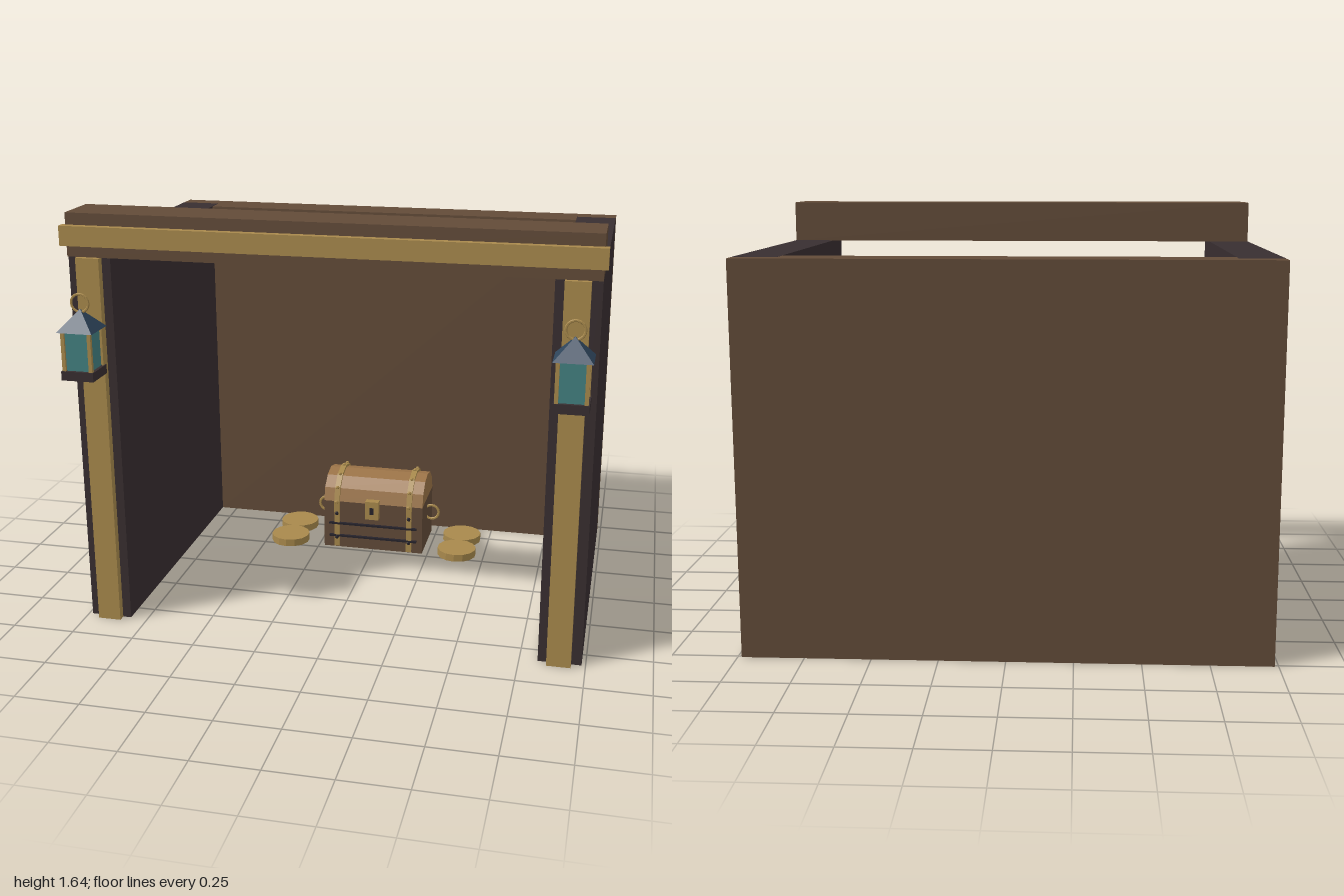
import * as THREE from 'three';

const mat = (name, color) => {
  const m = new THREE.MeshStandardMaterial({ color });
  m.name = name;
  m.flatShading = true;
  return m;
};

export function createModel() {
  const wood = mat('brown wood', 0x624b38);
  const dark = mat('dark timber', 0x382e30);
  const gold = mat('aged gold', 0xa8894c);
  const lidWood = mat('light chest wood', 0x9b7347);
  const roofBlue = mat('slate blue', 0x2e455c);
  const glass = mat('teal glass', 0x438081);
  const iron = mat('black iron', 0x25222a);

  const model = new THREE.Group();
  model.name = 'treasureStall';

  const add = (parent, name, geo, material, x = 0, y = 0, z = 0) => {
    const mesh = new THREE.Mesh(geo, material);
    mesh.name = name;
    mesh.position.set(x, y, z);
    parent.add(mesh);
    return mesh;
  };
  // Box given by its minimum and maximum on each axis
  const box = (parent, name, material, x0, x1, y0, y1, z0, z1) =>
    add(parent, name, new THREE.BoxGeometry(x1 - x0, y1 - y0, z1 - z0), material,
      (x0 + x1) / 2, (y0 + y1) / 2, (z0 + z1) / 2);

  // Shelter: back wall with a narrower inner layer between the side walls
  box(model, 'backWall', wood, -0.985, 0.985, 0, 1.48, -0.76, -0.68);
  box(model, 'backWallInner', wood, -0.82, 0.82, 0, 1.48, -0.68, -0.6);
  box(model, 'lintel', wood, -0.985, 0.985, 1.48, 1.645, 0.4, 0.595);
  box(model, 'lintelTrim', gold, -1, 1, 1.525, 1.6, 0.588, 0.625);

  // Lantern with a pyramid roof, corner posts and hanging ring
  const makeLantern = () => {
    const g = new THREE.Group();
    g.name = 'lantern';
    box(g, 'lanternBase', dark, -0.063, 0.063, 1.045, 1.08, -0.063, 0.063);
    box(g, 'lanternGlass', glass, -0.05, 0.05, 1.08, 1.23, -0.05, 0.05);
    for (const x of [-0.052, 0.052]) for (const z of [-0.052, 0.052]) {
      box(g, 'lanternPost', gold, x - 0.007, x + 0.007, 1.08, 1.23, z - 0.007, z + 0.007);
    }
    const roof = new THREE.ConeGeometry(0.07 * Math.SQRT2, 0.078, 4).rotateY(Math.PI / 4);
    add(g, 'lanternRoof', roof, roofBlue, 0, 1.267, 0);
    add(g, 'lanternRing', new THREE.TorusGeometry(0.034, 0.005, 6, 18), gold, 0, 1.328, 0);
    return g;
  };

  for (const s of [-1, 1]) {
    const c = s * 0.9025;
    box(model, 'sideWall', dark, c - 0.0825, c + 0.0825, 0, 1.4805, -0.68, 0.585);
    box(model, 'frontPost', gold, s * 0.9 - 0.046, s * 0.9 + 0.046, 0, 1.48, 0.584, 0.615);
    const lantern = makeLantern();
    lantern.position.set(s * 0.904, 0, 0.69);
    model.add(lantern);
  }

  // Chest, centred on its own origin
  const chest = new THREE.Group();
  chest.name = 'chest';
  chest.position.z = -0.41;
  model.add(chest);
  const steps = 6, seam = 0.22;
  const arch = (rz, ry) => Array.from({ length: steps + 1 }, (_, i) => {
    const a = (i / steps) * Math.PI;
    return new THREE.Vector2(Math.cos(a) * rz, seam + Math.sin(a) * ry);
  });
  // Extrude a (z, y) profile along x, centred on the given x
  const extrudeX = (shape, width, x) =>
    new THREE.ExtrudeGeometry(shape, { depth: width, bevelEnabled: false })
      .translate(0, 0, -width / 2).rotateY(-Math.PI / 2).translate(x, 0, 0);

  box(chest, 'chestBody', wood, -0.225, 0.225, 0, seam, -0.135, 0.135);
  add(chest, 'chestLid', extrudeX(new THREE.Shape(arch(0.135, 0.115)), 0.45, 0), lidWood);

  for (const s of [-1, 1]) {
    // Strap wrapping the body and lid
    const strap = new THREE.Shape([
      new THREE.Vector2(-0.143, 0.005), new THREE.Vector2(0.143, 0.005),
      ...arch(0.145, 0.126),
    ]);
    add(chest, 'strap', extrudeX(strap, 0.024, s * 0.165), gold);
    // Rivets over the lid and down both faces
    arch(0.145, 0.126).forEach((p) =>
      add(chest, 'strapRivet', new THREE.IcosahedronGeometry(0.009, 0), gold, s * 0.165, p.y, p.x));
    for (const y of [0.05, 0.165]) for (const z of [-0.144, 0.144]) {
      add(chest, 'bodyRivet', new THREE.IcosahedronGeometry(0.01, 0), iron, s * 0.165, y, z);
    }
    add(chest, 'handle', new THREE.TorusGeometry(0.033, 0.006, 6, 16), gold, s * 0.245, 0.15, 0);
    box(chest, 'hinge', iron, s * 0.105 - 0.028, s * 0.105 + 0.028, 0.19, 0.25, -0.148, -0.13);
    // Thin iron bands across the front and back
    const y = s > 0 ? 0.117 : 0.057;
    box(chest, 'ironBand', iron, -0.2, 0.2, y - 0.004, y + 0.004, -0.148, 0.148);
  }
  box(chest, 'lock', gold, -0.03, 0.03, 0.155, 0.24, 0.13, 0.163);
  box(chest, 'keyhole', iron, -0.009, 0.009, 0.18, 0.212, 0.16, 0.166);

  // Coins in pairs on each side of the chest
  for (const x of [-0.383, 0.383]) for (const z of [-0.437, -0.272]) {
    add(model, 'coin', new THREE.CylinderGeometry(0.085, 0.085, 0.032, 14), gold, x, 0.032, z);
  }
  return model;
}
